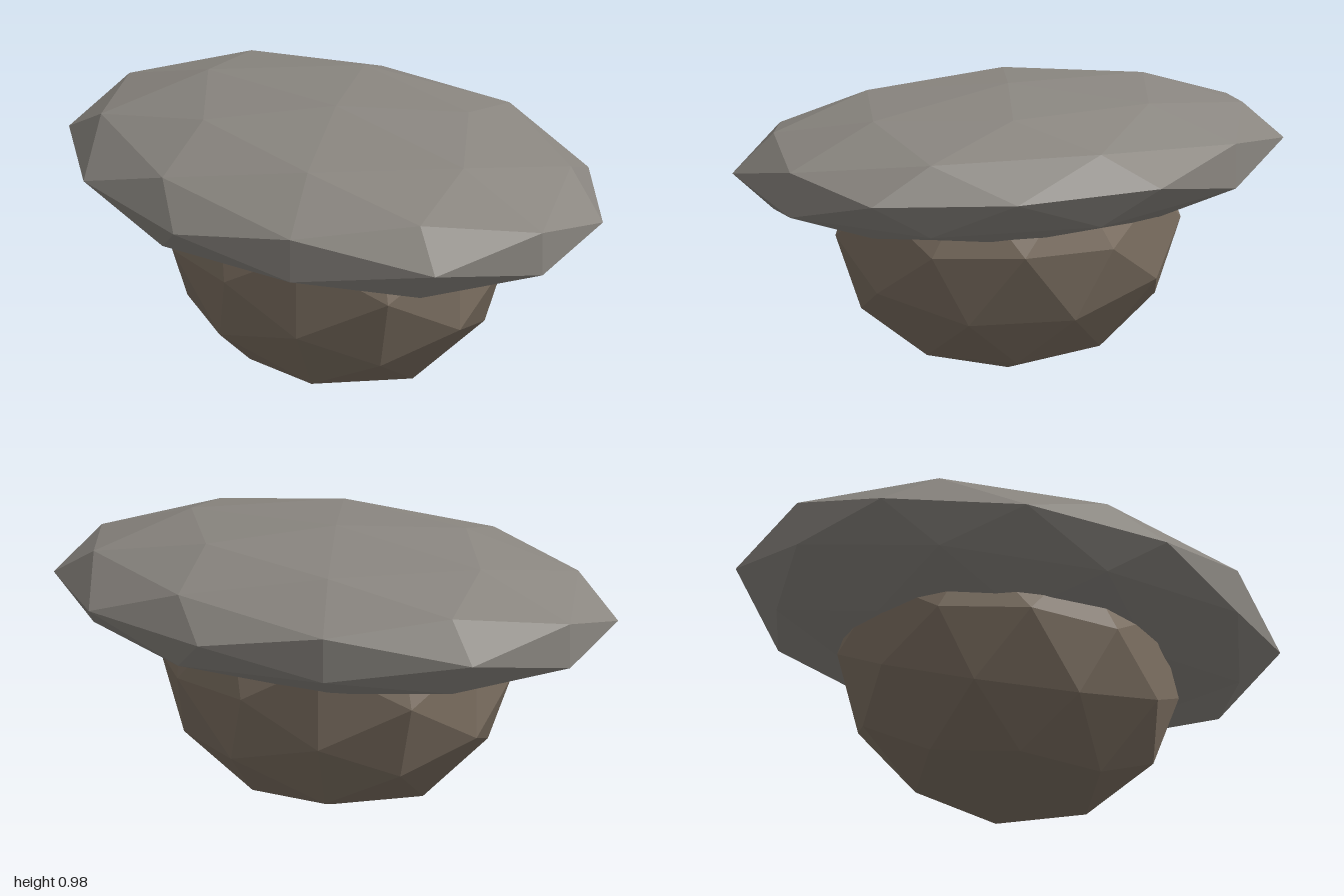
import * as THREE from 'three';

// Faceted boulder: a subdivided icosahedron, turned about y, then stretched
function boulder(name, color, size, y) {
  const geometry = new THREE.IcosahedronGeometry(1, 1);
  geometry.rotateY(THREE.MathUtils.degToRad(58.28));
  geometry.scale(...size);
  geometry.translate(0, y, 0);
  geometry.computeVertexNormals();
  const mesh = new THREE.Mesh(
    geometry,
    new THREE.MeshStandardMaterial({ color, flatShading: true })
  );
  mesh.name = name;
  return mesh;
}

export function createModel() {
  const group = new THREE.Group();
  group.name = 'balancedRock';

  // Rounded supporting stone
  group.add(boulder('baseStone', 0x7d7062, [0.631, 0.488, 0.53], 0.488));

  // Wide flattened stone resting on it
  group.add(boulder('capStone', 0x8a8680, [1.051, 0.25, 0.77], 0.732));

  return group;
}
